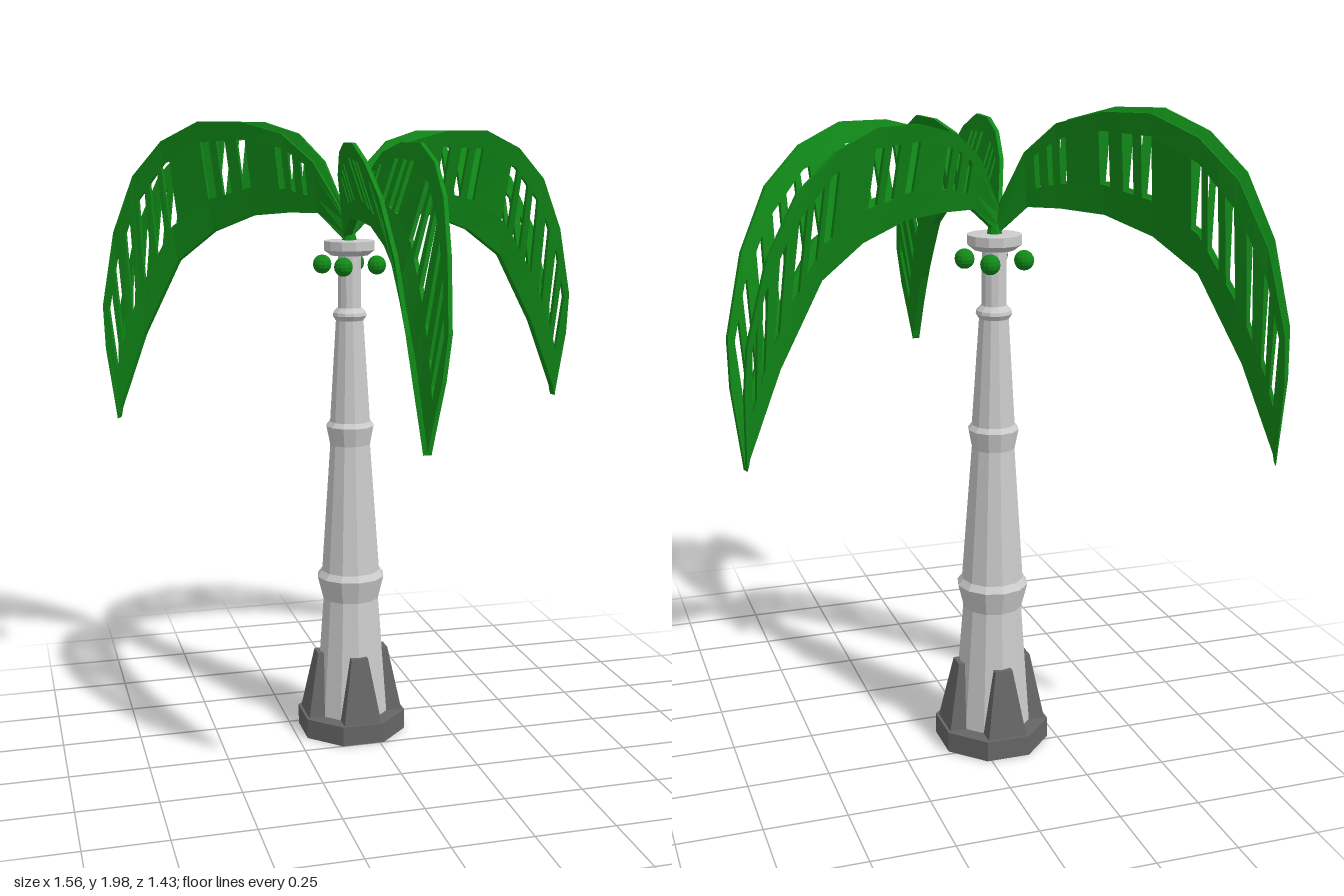
import * as THREE from 'three';

const mat = (color, extra = {}) => new THREE.MeshStandardMaterial({ color, flatShading: true, ...extra });
const grey = mat(0xcccccc);
const dark = mat(0x666666);
const green = mat(0x118a18);
const leafGreen = mat(0x118a18, { side: THREE.DoubleSide });

// Leaf rows from hub to tip: edge distance, edge height, rib distance, rib height, half width
const ROWS = [
  [0, 0.03, 0, -0.03, 0.003], [0.095, 0.17, 0.095, 0.04, 0.04], [0.195, 0.24, 0.195, 0.04, 0.06],
  [0.33, 0.27, 0.33, 0.03, 0.08], [0.475, 0.27, 0.475, -0.015, 0.093], [0.61, 0.22, 0.61, -0.095, 0.093],
  [0.725, 0.13, 0.75, -0.3, 0.083], [0.815, -0.02, 0.815, -0.43, 0.067], [0.875, -0.22, 0.855, -0.51, 0.052],
  [0.88, -0.34, 0.86, -0.53, 0.035], [0.865, -0.535, 0.865, -0.54, 0],
];
// Slots along the leaf, in row units
const SLOTS = [
  [1.3, 1.45], [1.7, 1.85], [2.05, 2.2], [2.93, 3.14], [3.41, 3.62], [3.79, 4],
  [4.85, 5.08], [5.22, 5.48], [5.65, 5.87], [6.25, 6.5], [6.9, 7.15], [7.45, 7.75],
];
const BANDS = [0, 0.3, 0.82, 1];
const THICK = 0.012;

function leafGeometry() {
  const stations = [...new Set([...ROWS.keys(), ...SLOTS.flat()])].sort((a, b) => a - b);
  const last = stations.length - 1;
  const solid = (i, b) => {
    if (i < 0 || i >= last || b < 0 || b > 2) return false;
    const mid = (stations[i] + stations[i + 1]) / 2;
    return b !== 1 || !SLOTS.some(([s, e]) => mid > s && mid < e);
  };
  const pos = [];
  for (const side of [1, -1]) {
    // Point on the inner (o = 0) or outer (o = 1) skin
    const P = (i, b, o) => {
      const u = stations[i], k = Math.min(Math.floor(u), ROWS.length - 2);
      const [ez, ey, rz, ry, w] = ROWS[k].map((v, n) => THREE.MathUtils.lerp(v, ROWS[k + 1][n], u - k));
      const f = BANDS[b];
      return [side * (w * f + o * THICK), THREE.MathUtils.lerp(ry, ey, f), THREE.MathUtils.lerp(rz, ez, f)];
    };
    const quad = (a, b, c, d) => {
      const q = side > 0 ? [a, b, c, d] : [d, c, b, a];
      for (const n of [0, 1, 2, 0, 2, 3]) pos.push(...P(...q[n]));
    };
    for (let i = 0; i < last; i++) {
      for (let b = 0; b < 3; b++) {
        if (!solid(i, b)) continue;
        const j = i + 1, c = b + 1;
        quad([i, b, 0], [j, b, 0], [j, c, 0], [i, c, 0]);
        quad([i, c, 1], [j, c, 1], [j, b, 1], [i, b, 1]);
        // Walls along rims and slots
        if (!solid(i - 1, b)) quad([i, b, 0], [i, c, 0], [i, c, 1], [i, b, 1]);
        if (!solid(j, b)) quad([j, b, 1], [j, c, 1], [j, c, 0], [j, b, 0]);
        if (!solid(i, b - 1)) quad([i, b, 0], [i, b, 1], [j, b, 1], [j, b, 0]);
        if (!solid(i, c)) quad([j, c, 0], [j, c, 1], [i, c, 1], [i, c, 0]);
      }
    }
  }
  const g = new THREE.BufferGeometry();
  g.setAttribute('position', new THREE.Float32BufferAttribute(pos, 3));
  g.computeVertexNormals();
  return g;
}

// Tapered block, wide at the foot and leaning against the trunk
function buttressGeometry() {
  const g = new THREE.BoxGeometry(1, 1, 1);
  const p = g.attributes.position;
  for (let i = 0; i < p.count; i++) {
    const top = p.getY(i) > 0;
    p.setXYZ(i, p.getX(i) * (top ? 0.055 : 0.125), top ? 0.275 : 0.06,
      p.getZ(i) > 0 ? (top ? 0.118 : 0.158) : 0.04);
  }
  g.computeVertexNormals();
  return g;
}

const lathe = (pts, sides) => new THREE.LatheGeometry(pts.map(([r, y]) => new THREE.Vector2(r, y)), sides);

export function createModel() {
  const model = new THREE.Group();
  model.name = 'palmTree';
  const add = (parent, name, geometry, material) => {
    const m = new THREE.Mesh(geometry, material);
    m.name = name;
    parent.add(m);
    return m;
  };

  const stem = new THREE.Group();
  stem.name = 'stem';
  stem.position.set(-0.055, 0, -0.165);
  model.add(stem);

  // Octagonal foot with four buttresses
  const base = add(stem, 'base', new THREE.CylinderGeometry(0.179, 0.179, 0.065, 8), dark);
  base.position.y = 0.0325;
  base.rotation.y = Math.PI / 8;
  const buttress = buttressGeometry();
  for (let i = 0; i < 4; i++) add(stem, 'buttress', buttress, dark).rotation.y = i * Math.PI / 2;

  // Ringed trunk and the cap on top
  add(stem, 'trunk', lathe([
    [0.122, 0.06], [0.092, 0.455], [0.111, 0.53], [0.096, 0.55], [0.066, 0.97], [0.078, 1.03],
    [0.066, 1.045], [0.045, 1.37], [0.055, 1.385], [0.053, 1.395], [0.038, 1.41], [0.037, 1.58],
  ], 12), grey);
  add(stem, 'cap', lathe([[0, 1.575], [0.06, 1.575], [0.082, 1.592], [0.082, 1.62], [0.05, 1.622], [0, 1.622]], 12), grey);

  // Coconuts
  const nut = new THREE.SphereGeometry(0.03, 12, 8);
  for (let i = 0; i < 4; i++) {
    const a = 1.11 + i * Math.PI / 2;
    add(stem, 'coconut', nut, green).position.set(0.088 * Math.sin(a), 1.545, 0.088 * Math.cos(a));
  }

  // Crown: heading, length scale, height scale
  add(stem, 'crownStub', new THREE.CylinderGeometry(0.012, 0.025, 0.06, 8), green).position.y = 1.645;
  const leaf = leafGeometry();
  for (const [heading, length, height] of [
    [0, 1, 1], [Math.atan2(0.83, -0.25), 0.97, 1.12], [Math.atan2(-0.685, -0.495), 0.97, 1.22],
  ]) {
    const m = add(stem, 'leaf', leaf, leafGreen);
    m.position.set(-0.008, 1.655, 0);
    m.rotation.y = heading;
    m.scale.set(1, height, length);
  }
  return model;
}
